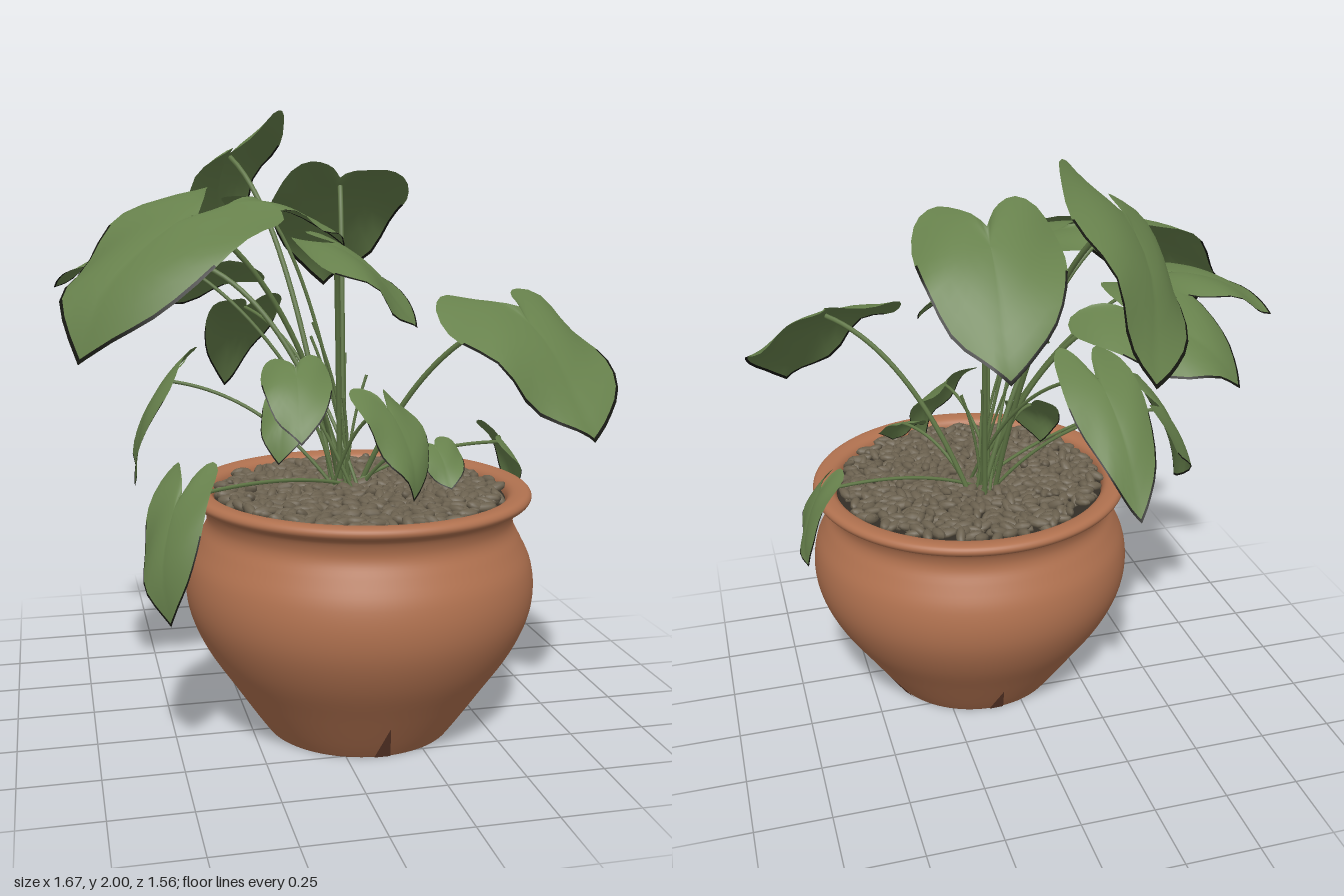
import * as THREE from 'three';
import { mergeGeometries } from 'three/addons/utils/BufferGeometryUtils.js';

const V = (a) => new THREE.Vector3(...a);
const CX = 0.11, CZ = 0.22; // pot axis

// seeded random numbers
function makeRandom(seed) {
  return () => (seed = (seed * 16807) % 2147483647) / 2147483647;
}

// half outline of a heart-shaped blade: x across, y from notch (0) to tip (1)
const half = new THREE.SplineCurve(
  [[0, 0], [0.2, -0.17], [0.52, -0.27], [0.85, -0.16], [1, 0.1], [0.94, 0.38], [0.68, 0.68], [0.28, 0.89], [0, 1]]
    .map(([x, y]) => new THREE.Vector2(x, y))).getPoints(20);
const outline = [...half, ...half.slice(1, -1).reverse().map((p) => new THREE.Vector2(-p.x, p.y))];
const ringScale = [0, 0.17, 0.34, 0.5, 0.66, 0.83, 0.97, 1];

// blade made of heart-shaped rings, arched along its length and drooping at the sides;
// group 0 is the blade, group 1 the withered edge around the tip
function bladeGeometry(base, tip, width, side, phase) {
  const D = tip.clone().sub(base), len = D.length(), dir = D.clone().normalize();
  const S = side ? V(side) : new THREE.Vector3(0, 1, 0).cross(dir);
  S.addScaledVector(dir, -S.dot(dir)).normalize();
  const N = dir.clone().cross(S).normalize();
  if (N.y < 0) { N.negate(); S.negate(); }
  const n = outline.length, pos = [], green = [], edge = [];
  for (const s of ringScale) {
    for (const o of outline) {
      const x = o.x * s, y = 0.14 + (o.y - 0.14) * s;
      const lift = len * 0.42 * y * (1 - y) - width * 0.13 * x * x
        + width * 0.05 * Math.abs(x) + width * 0.045 * s * s * Math.sin(7 * y + 3 * x + phase);
      const p = base.clone().addScaledVector(D, y).addScaledVector(S, x * width / 2).addScaledVector(N, lift);
      pos.push(p.x, p.y, p.z);
    }
  }
  for (let r = 0; r < ringScale.length - 1; r++) {
    for (let i = 0; i < n; i++) {
      const a = r * n + i, b = r * n + (i + 1) % n;
      const list = r === ringScale.length - 2 && outline[i].y > 0.3 ? edge : green;
      if (r > 0) list.push(a, a + n, b);
      list.push(b, a + n, b + n);
    }
  }
  const g = new THREE.BufferGeometry();
  g.setAttribute('position', new THREE.Float32BufferAttribute(pos, 3));
  const idx = [...green, ...edge];
  // keep the top face on the side the normal points to
  if (N.dot(S.clone().cross(D)) > 0) for (let i = 0; i < idx.length; i += 3) [idx[i], idx[i + 1]] = [idx[i + 1], idx[i]];
  g.setIndex(idx);
  g.addGroup(0, green.length, 0);
  g.addGroup(green.length, edge.length, 1);
  g.computeVertexNormals();
  return g;
}

// leaf table: notch point, tip, width, optional direction across the blade
const leaves = [
  { b: [-0.21, 1.86, -0.36], t: [-0.16, 1.47, -0.77], w: 0.48, s: [0.32, 0.29, -0.1] },
  { b: [0.12, 1.76, -0.09], t: [0.14, 1.38, -0.43], w: 0.46 },
  { b: [-0.32, 1.49, -0.13], t: [-0.63, 1.28, -0.37], w: 0.42, s: [0.26, -0.13, -0.31] },
  { b: [-0.17, 1.34, -0.30], t: [-0.20, 1.00, -0.65], w: 0.25 },
  { b: [0.0, 1.57, 0.31], t: [0.23, 1.31, 0.40], w: 0.40, s: [-0.06, -0.13, 0.45] },
  { b: [-0.20, 1.70, 0.08], t: [0.09, 1.55, 0.08], w: 0.32 },
  { b: [-0.41, 1.67, 0.23], t: [-0.79, 1.26, 0.44], w: 0.56, s: [0.1, -0.22, 0.45] },
  { b: [-0.52, 1.55, 0.0], t: [-0.83, 1.42, -0.14], w: 0.28 },
  { b: [0.55, 1.37, 0.42], t: [0.67, 1.0, 0.73], w: 0.54, s: [0.46, 0, -0.23] },
  { b: [0.65, 0.89, 0.06], t: [0.725, 0.67, -0.06], w: 0.2, s: [-0.02, 0.13, 0.3] },
  { b: [-0.50, 0.86, 0.48], t: [-0.55, 0.50, 0.60], w: 0.24, s: [0.15, 0, 0.2] },
  { b: [-0.47, 1.12, -0.11], t: [-0.59, 0.78, 0.04], w: 0.29, s: [0.05, 0.1, -0.28] },
  { b: [-0.14, 1.21, 0.42], t: [-0.16, 1.01, 0.60], w: 0.21 },
  { b: [0.15, 1.08, 0.40], t: [0.20, 0.82, 0.55], w: 0.26, s: [0.2, 0, -0.16] },
  { b: [-0.09, 1.08, 0.13], t: [-0.16, 0.88, 0.24], w: 0.19 },
  { b: [0.31, 0.95, 0.38], t: [0.33, 0.83, 0.49], w: 0.17 },
];

export function createModel() {
  const plant = new THREE.Group();
  plant.name = 'pottedPlant';
  const mat = (name, color, side = THREE.FrontSide) => {
    const m = new THREE.MeshStandardMaterial({ color, side });
    m.name = name;
    return m;
  };
  const clay = mat('terracotta', 0xb0714f);
  const darkClay = mat('darkTerracotta', 0x6e4432, THREE.DoubleSide);
  const green = mat('leafGreen', 0x67814c, THREE.DoubleSide);
  const withered = mat('witheredEdge', 0x14150f, THREE.DoubleSide);
  const stemGreen = mat('stemGreen', 0x5f7645);
  const stone = mat('pebbleBrown', 0x6b614f);
  const earth = mat('soilBrown', 0x332e26);
  const add = (name, geo, material, parent = plant) => {
    const mesh = new THREE.Mesh(geo, material);
    mesh.name = name;
    parent.add(mesh);
    return mesh;
  };
  const rnd = makeRandom(4711);

  // pot: recessed foot, round belly, narrow neck, rolled rim
  const wall = new THREE.SplineCurve([
    [0.305, 0], [0.345, 0.055], [0.42, 0.165], [0.5, 0.285], [0.548, 0.39], [0.563, 0.48], [0.552, 0.565],
    [0.52, 0.635], [0.497, 0.68], [0.494, 0.715], [0.508, 0.75], [0.54, 0.765], [0.55, 0.782],
    [0.54, 0.797], [0.515, 0.8], [0.485, 0.792], [0.47, 0.765], [0.466, 0.7],
  ].map(([x, y]) => new THREE.Vector2(x, y))).getPoints(72);
  const foot = [[0, 0.02], [0.285, 0.02], [0.29, 0.015], [0.294, 0]].map(([x, y]) => new THREE.Vector2(x, y));
  add('pot', new THREE.LatheGeometry([...foot, ...wall], 120), clay).position.set(CX, 0, CZ);

  // drainage marks: thin dark wedges lying on the slope above the foot
  const wedge = new THREE.BufferGeometry();
  wedge.setAttribute('position', new THREE.Float32BufferAttribute(
    [-0.026, 0, 0.309, 0.026, 0, 0.309, 0, 0.135, 0.405], 3));
  wedge.computeVertexNormals();
  for (const deg of [0, 118, 182]) {
    const mark = add('drainageMark', wedge, darkClay);
    mark.position.set(CX, 0, CZ);
    mark.rotation.y = THREE.MathUtils.degToRad(deg);
  }

  // soil disc
  const soil = add('soil', new THREE.CylinderGeometry(0.468, 0.468, 0.02, 64), earth);
  soil.position.set(CX, 0.755, CZ);

  // pebbles spread over the soil in a sunflower pattern
  const stones = [], dummy = new THREE.Object3D(), count = 640;
  for (let i = 0; i < count; i++) {
    const r = 0.45 * Math.sqrt((i + 0.5) / count), a = i * 2.39996 + rnd() * 0.1;
    dummy.position.set(CX + r * Math.sin(a), 0.772 + rnd() * 0.016, CZ + r * Math.cos(a));
    dummy.rotation.set((rnd() - 0.5) * 0.7, rnd() * Math.PI * 2, (rnd() - 0.5) * 0.7);
    dummy.scale.set(0.031 + rnd() * 0.008, 0.013 + rnd() * 0.005, 0.015 + rnd() * 0.005);
    dummy.updateMatrix();
    stones.push(new THREE.SphereGeometry(1, 8, 6).applyMatrix4(dummy.matrix));
  }
  add('pebbles', mergeGeometries(stones), stone);

  // leaves, each with a bending stalk from the middle of the pot
  leaves.forEach(({ b, t, w, s }, i) => {
    const leaf = new THREE.Group();
    leaf.name = 'leaf' + (i + 1);
    plant.add(leaf);
    const base = V(b), tip = V(t);
    add('blade', bladeGeometry(base, tip, w, s, i * 1.7), [green, withered], leaf);
    const root = new THREE.Vector3(0.09 + (rnd() - 0.5) * 0.14, 0.76, 0.14 + (rnd() - 0.5) * 0.14);
    const bend = root.clone().lerp(base, 0.42);
    bend.y = root.y + (base.y - root.y) * 0.78 + 0.04;
    const end = base.clone().lerp(tip, 0.04);
    const path = new THREE.QuadraticBezierCurve3(root, bend, end);
    add('stalk', new THREE.TubeGeometry(path, 24, w > 0.35 ? 0.009 : 0.006, 7), stemGreen, leaf);
  });

  // young shoots without blades
  for (let i = 0; i < 5; i++) {
    const a = i * 1.3, root = new THREE.Vector3(0.09, 0.76, 0.14);
    const top = new THREE.Vector3(0.06 + 0.1 * Math.sin(a), 1.08 + 0.06 * i, 0.1 + 0.1 * Math.cos(a));
    const path = new THREE.QuadraticBezierCurve3(root, root.clone().lerp(top, 0.5).setX(0.09), top);
    add('shoot', new THREE.TubeGeometry(path, 12, 0.005, 6), stemGreen);
  }
  return plant;
}
